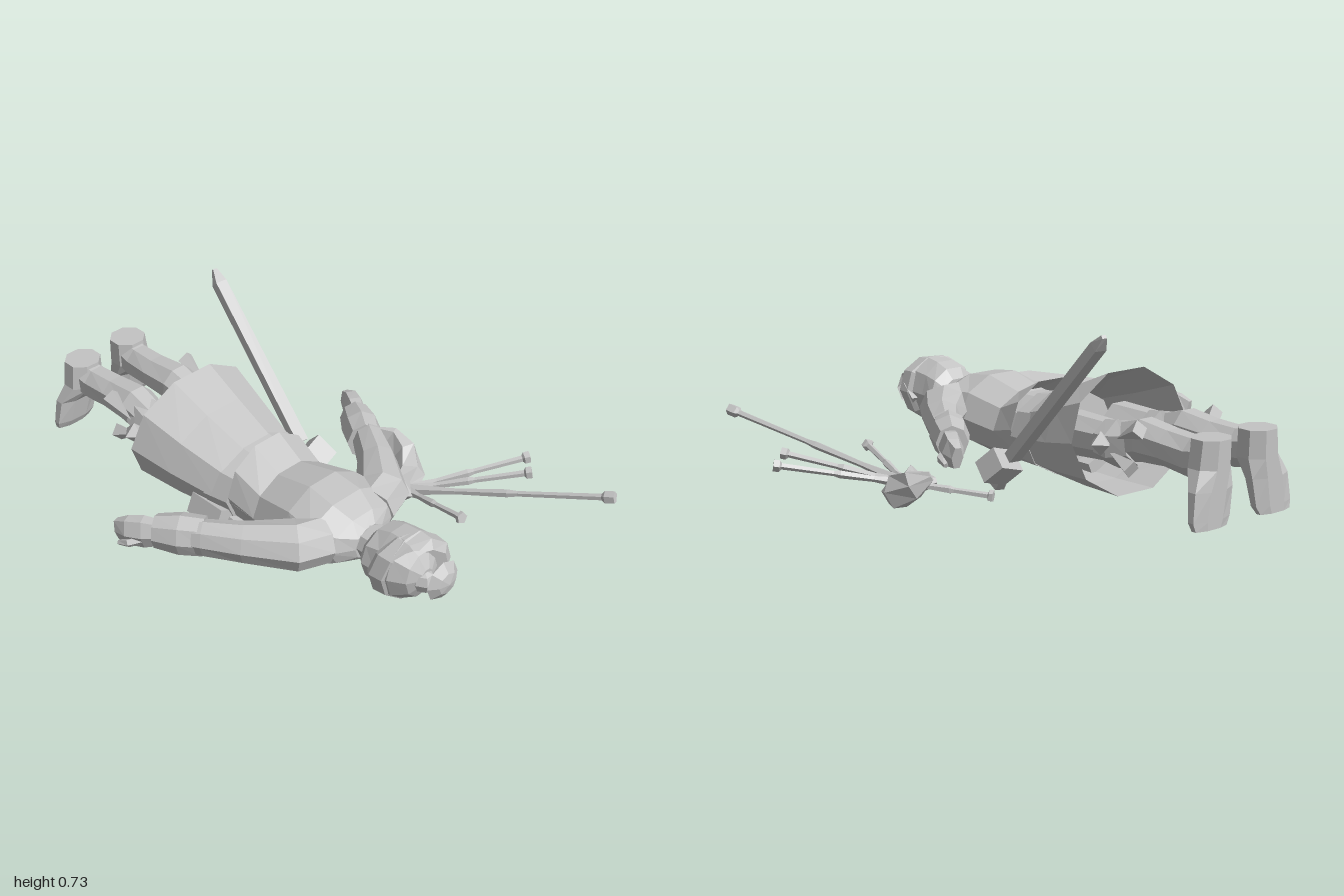
import * as THREE from 'three';

const V = (x, y, z) => new THREE.Vector3(x, y, z);
const CX = -0.16; // mid-plane of the lying figure

// Skin a list of rings {c,u,v}; each ring is c + u*cos + v*sin
function loft(rings, sides, { capStart = true, capEnd = true, phase = 0 } = {}) {
  const pos = [], tri = (...p) => p.forEach(q => pos.push(q.x, q.y, q.z));
  const pts = rings.map(r => Array.from({ length: sides }, (_, i) => {
    const a = ((i + phase) / sides) * Math.PI * 2;
    return r.c.clone().addScaledVector(r.u, Math.cos(a)).addScaledVector(r.v, Math.sin(a));
  }));
  for (let k = 0; k < rings.length - 1; k++) for (let i = 0; i < sides; i++) {
    const j = (i + 1) % sides, a = pts[k], b = pts[k + 1];
    tri(a[i], a[j], b[j]);
    tri(a[i], b[j], b[i]);
  }
  const e = rings.length - 1;
  for (let i = 0; i < sides; i++) {
    const j = (i + 1) % sides;
    if (capStart) tri(rings[0].c, pts[0][j], pts[0][i]);
    if (capEnd) tri(rings[e].c, pts[e][i], pts[e][j]);
  }
  const g = new THREE.BufferGeometry();
  g.setAttribute('position', new THREE.Float32BufferAttribute(pos, 3));
  g.computeVertexNormals();
  return g;
}

// Rings stacked along z: [x, yBottom, yTop, z, halfWidth, zTilt]
const zRings = list => list.map(([x, y0, y1, z, rx, tilt = 0]) => ({
  c: V(x, (y0 + y1) / 2, z), u: V(rx, 0, 0), v: V(0, (y1 - y0) / 1.9, tilt),
}));

// Limb following points [x, y, z, sideRadius, upRadius]
function limb(list, sides, options) {
  const p = list.map(q => V(q[0], q[1], q[2]));
  return loft(list.map((q, i) => {
    const t = p[Math.min(i + 1, p.length - 1)].clone().sub(p[Math.max(i - 1, 0)]).normalize();
    const u = V(0, 1, 0).cross(t).normalize();
    const v = t.clone().cross(u);
    return { c: p[i], u: u.multiplyScalar(q[3]), v: v.multiplyScalar(q[4] ?? q[3]) };
  }), sides, options);
}

export function createModel() {
  const group = new THREE.Group();
  const grey = new THREE.MeshStandardMaterial({ color: 0xc4c4c4, flatShading: true, side: THREE.DoubleSide });
  grey.name = 'plain light grey';
  const add = (name, geo, x = 0, y = 0, z = 0, rx = 0, ry = 0, rz = 0) => {
    const m = new THREE.Mesh(geo, grey);
    m.name = name;
    m.position.set(x, y, z);
    m.rotation.set(rx, ry, rz);
    group.add(m);
  };

  // Torso with flared hem, belt and open skirt
  add('torso', loft(zRings([
    [-0.155, 0.11, 0.37, -0.02, 0.19], [-0.16, 0.1, 0.365, 0.12, 0.185],
    [CX, 0.11, 0.41, 0.3, 0.21], [CX, 0.14, 0.395, 0.42, 0.225],
    [CX, 0.18, 0.36, 0.5, 0.16], [CX, 0.2, 0.33, 0.54, 0.075],
  ]), 10));
  add('hem', loft(zRings([
    [-0.155, 0.1, 0.43, 0.005, 0.2], [-0.16, 0.1, 0.37, 0.13, 0.186],
  ]), 10, { capStart: false, capEnd: false }));
  add('belt', loft(zRings([
    [CX, 0.09, 0.4, -0.1, 0.222, 0.01], [-0.155, 0.1, 0.385, 0, 0.205, 0.01],
  ]), 10));
  add('skirt', loft(zRings([
    [CX, 0.085, 0.53, -0.43, 0.29, 0.03], [CX, 0.085, 0.46, -0.25, 0.255, 0.02],
    [CX, 0.095, 0.39, -0.05, 0.21, 0.01],
  ]), 10, { capStart: false }));

  // Neck, head and headwear
  add('neck', loft(zRings([[CX, 0.21, 0.33, 0.5, 0.07], [CX, 0.21, 0.33, 0.62, 0.07]]), 8));
  add('head', loft(zRings([
    [CX, 0.2, 0.34, 0.58, 0.09], [CX, 0.17, 0.38, 0.61, 0.12], [CX, 0.15, 0.4, 0.67, 0.118],
    [-0.165, 0.15, 0.41, 0.74, 0.125], [-0.17, 0.19, 0.37, 0.8, 0.085], [-0.18, 0.25, 0.32, 0.83, 0.03],
  ]), 10));
  add('headband', loft([[0.69, 0.125], [0.71, 0.14], [0.765, 0.135], [0.785, 0.1]].map(([z, r]) => ({
    c: V(-0.165, 0.275, z), u: V(r, 0, 0.04), v: V(0, r, 0.015),
  })), 10));
  add('topKnot', new THREE.SphereGeometry(0.045, 6, 4), -0.185, 0.27, 0.82);
  add('crest', new THREE.SphereGeometry(0.105, 8, 2, 0, Math.PI * 2, 0, 0.85), -0.14, 0.27, 0.795, Math.PI / 2);
  add('nose', new THREE.ConeGeometry(0.025, 0.05, 4), CX, 0.145, 0.68, Math.PI);
  add('headbandTail', new THREE.ConeGeometry(0.02, 0.1, 3), -0.035, 0.28, 0.75, 0.9);

  // Mirrored arms and legs
  for (const [s, side] of [[1, 'left'], [-1, 'right']]) {
    const at = list => list.map(([x, ...r]) => [CX + s * x, ...r]);
    add(side + 'Arm', limb(at([
      [0.12, 0.28, 0.42, 0.1, 0.09], [0.22, 0.285, 0.39, 0.1, 0.09], [0.34, 0.285, 0.25, 0.075, 0.075],
      [0.42, 0.28, 0.13, 0.062, 0.07], [0.5, 0.27, 0, 0.045, 0.05],
    ]), 8));
    add(side + 'Cuff', limb(at([
      [0.41, 0.275, 0.12, 0.068, 0.078], [0.46, 0.275, 0.05, 0.075, 0.08], [0.51, 0.27, -0.03, 0.06, 0.065],
    ]), 8));
    add(side + 'Hand', limb(at([
      [0.5, 0.27, 0, 0.035, 0.05], [0.54, 0.265, -0.06, 0.045, 0.065], [0.57, 0.26, -0.11, 0.04, 0.06],
      [0.585, 0.25, -0.155, 0.022, 0.045],
    ]), 6));
    add(side + 'Thumb', limb(at([[0.54, 0.25, -0.04, 0.02], [0.6, 0.235, -0.08, 0.017], [0.61, 0.22, -0.12, 0.01]]), 5));

    add(side + 'Leg', limb(at([
      [0.11, 0.29, -0.25, 0.085], [0.11, 0.295, -0.48, 0.07, 0.075], [0.105, 0.33, -0.62, 0.08, 0.082],
      [0.105, 0.325, -0.74, 0.075, 0.07], [0.11, 0.315, -0.86, 0.068, 0.075], [0.115, 0.33, -0.95, 0.065, 0.072],
    ]), 8, { phase: 0.5 }));
    // Foot hanging from the heel, sole flat to the back: [x, y, zFront, halfWidth]
    add(side + 'Foot', loft([
      [0.115, 0.4, -0.87, 0.068], [0.12, 0.3, -0.865, 0.075],
      [0.14, 0.23, -0.92, 0.09], [0.155, 0.13, -0.94, 0.088], [0.16, 0.1, -0.955, 0.075],
    ].map(([x, y, zf, w]) => ({
      c: V(CX + s * x, y, (zf - 1) / 2), u: V(w / 0.92, 0, 0), v: V(0, 0, (zf + 1) / 1.85),
    })), 8, { phase: 0.5 }));
    // Boot top with its knotted strap ends
    add(side + 'BootCuff', limb(at([
      [0.11, 0.295, -0.43, 0.085, 0.08], [0.11, 0.295, -0.5, 0.1, 0.09], [0.105, 0.31, -0.58, 0.08, 0.08],
    ]), 7));
    add(side + 'StrapKnot', new THREE.OctahedronGeometry(0.045), CX + s * 0.215, 0.31, -0.5);
    for (const [y, z, a] of [[0.36, -0.61, 2.0], [0.26, -0.57, 1.2]])
      add(side + 'StrapEnd', new THREE.ConeGeometry(0.035, 0.13, 4), CX + s * 0.19, y, z, a);
  }

  // Pouch and short rod below the belt
  add('pouch', new THREE.BoxGeometry(0.2, 0.08, 0.16), -0.3, 0.13, -0.09, 0, 0, -0.42);
  add('pouchFlap', new THREE.BoxGeometry(0.15, 0.05, 0.1), -0.28, 0.1, 0.02, 0.2, 0, -0.42);
  add('rod', limb([[-0.24, 0.08, 0.02, 0.018], [-0.22, 0.06, -0.22, 0.014], [-0.22, 0.06, -0.27, 0.022]], 5));

  // Sword and grip
  add('blade', limb([
    [0.14, 0.2, -0.12, 0.036, 0.03], [0.183, 0.69, -0.62, 0.034, 0.028], [0.195, 0.73, -0.66, 0.012, 0.01],
  ], 4, { phase: 0.5 }));
  add('swordGuard', new THREE.BoxGeometry(0.12, 0.09, 0.1), 0.155, 0.155, -0.06, 0.75, 0.3, 0.1);
  add('swordGrip', limb([[0.14, 0.16, -0.08, 0.035], [0.11, 0.085, -0.01, 0.03], [0.1, 0.07, 0.01, 0.035]], 6));

  // Curved shell and bundle beside the body
  add('shell', limb([
    [0.44, 0.16, -0.02, 0.008, 0.02], [0.485, 0.125, 0.03, 0.03, 0.06], [0.495, 0.085, 0.11, 0.052, 0.07],
    [0.44, 0.055, 0.19, 0.06, 0.052], [0.35, 0.055, 0.23, 0.06, 0.035], [0.25, 0.06, 0.21, 0.025, 0.02],
  ], 6));
  add('bundleKnot', new THREE.OctahedronGeometry(0.06), 0.33, 0.07, 0.25);
  for (const [x, y, z] of [
    [0.665, 0.265, 0.995], [0.765, 0.148, 0.52], [0.675, 0.165, 0.605], [0.295, 0.14, 0.585], [0.15, 0.03, -0.02],
  ]) {
    const a = V(0.35, 0.06, 0.25), b = V(x, y, z);
    const steps = [[0, 0.024], [0.25, 0.012], [0.5, 0.016], [0.55, 0.011], [0.94, 0.013], [0.955, 0.024], [1, 0.024]];
    add('dart', limb(steps.map(([t, r]) => [...a.clone().lerp(b, t).toArray(), r]), 5));
  }
  return group;
}
